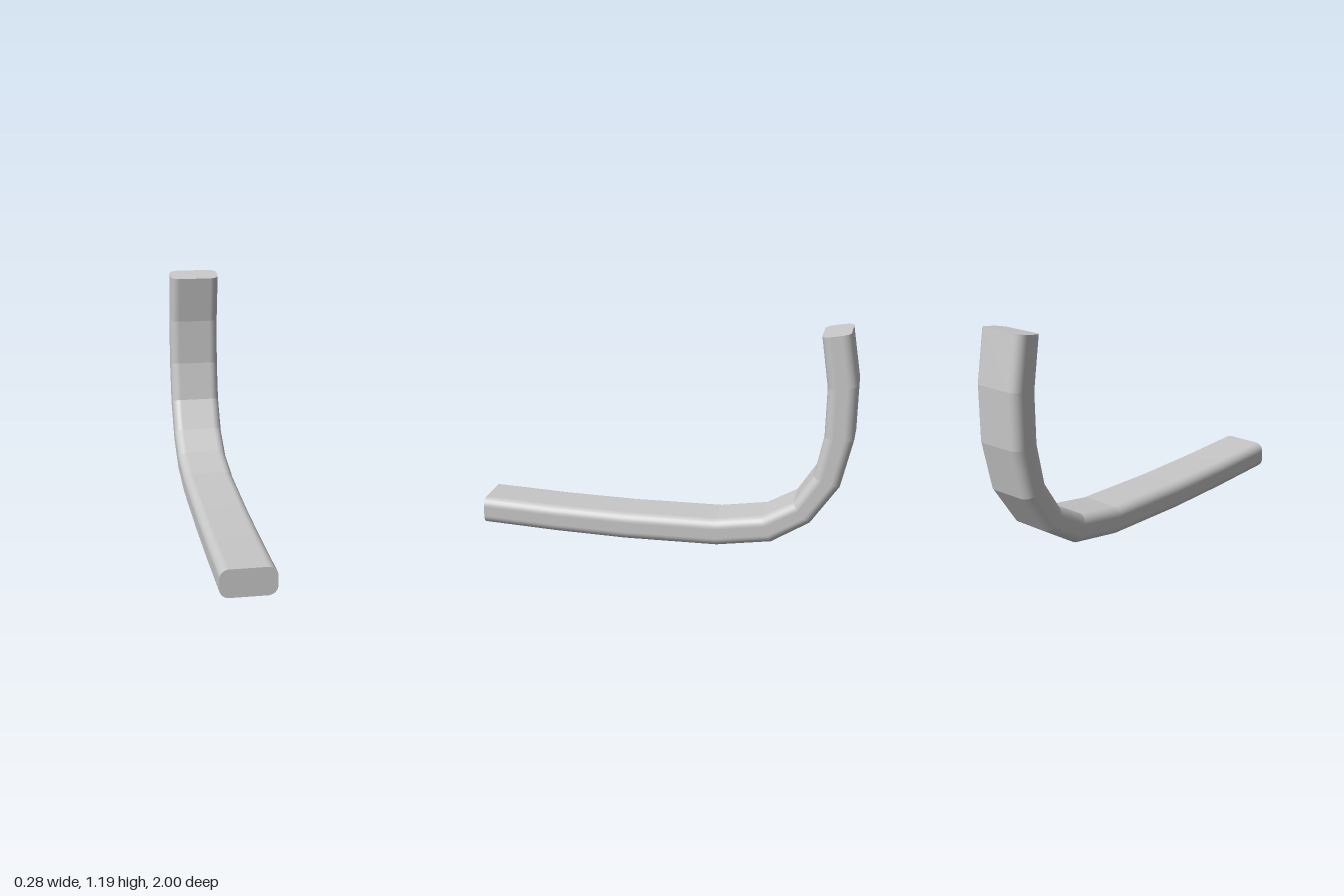
import * as THREE from 'three';

// Mitred joints along the bend: [inner z, inner y, outer z, outer y]
const JOINTS = [
  [1.0, 0.176, 1.0, 0.03],
  [0.6, 0.16, 0.595, 0.012],
  [0.2, 0.152, 0.2, 0.003],
  [-0.29, 0.158, -0.3, 0.01],
  [-0.54, 0.196, -0.59, 0.055],
  [-0.7, 0.285, -0.79, 0.18],
  [-0.8, 0.44, -0.935, 0.39],
  [-0.845, 0.655, -0.995, 0.645],
  [-0.85, 0.912, -1.0, 0.93],
  [-0.812, 1.175, -0.957, 1.198],
];
const HALF_W = 0.14, HALF_T = 0.074, RADIUS = 0.048, STEPS = 6;

// Rounded-rectangle section, counter-clockwise, with v scaled to -1..1 and smooth normals
function section() {
  const pts = [];
  [[1, 1], [-1, 1], [-1, -1], [1, -1]].forEach(([sx, sy], q) => {
    for (let k = 0; k <= STEPS; k++) {
      const a = (q + k / STEPS) * Math.PI / 2, c = Math.cos(a), s = Math.sin(a);
      pts.push({
        x: sx * (HALF_W - RADIUS) + RADIUS * c,
        v: (sy * (HALF_T - RADIUS) + RADIUS * s) / HALF_T,
        nx: c, nv: s,
      });
    }
  });
  return pts;
}

function placeOn([iz, iy, oz, oy], p) {
  const t = (1 - p.v) / 2;
  return new THREE.Vector3(p.x, iy + (oy - iy) * t, iz + (oz - iz) * t);
}

function buildGeometry(positions, normals, index) {
  const g = new THREE.BufferGeometry();
  g.setAttribute('position', new THREE.Float32BufferAttribute(positions, 3));
  g.setAttribute('normal', new THREE.Float32BufferAttribute(normals, 3));
  g.setIndex(index);
  return g;
}

// Bar skin: smooth around the section, creased at every joint
function barGeometry(ring) {
  const pos = [], nor = [], idx = [], n = ring.length;
  for (let i = 0; i < JOINTS.length - 1; i++) {
    const A = JOINTS[i], B = JOINTS[i + 1], base = pos.length / 3;
    const dz = B[0] + B[2] - A[0] - A[2], dy = B[1] + B[3] - A[1] - A[3];
    const len = Math.hypot(dz, dy);
    for (const joint of [A, B]) for (const p of ring) {
      pos.push(...placeOn(joint, p).toArray());
      nor.push(p.nx, -dz / len * p.nv, dy / len * p.nv);
    }
    for (let j = 0; j < n; j++) {
      const a = base + j, b = base + (j + 1) % n;
      idx.push(a, a + n, b + n, a, b + n, b);
    }
  }
  return buildGeometry(pos, nor, idx);
}

// Flat end cap
function capGeometry(ring, joint, flip) {
  const pos = [], nor = [], idx = [];
  const pts = ring.map(p => placeOn(joint, p));
  const up = new THREE.Vector3(0, joint[1] - joint[3], joint[0] - joint[2]);
  const normal = new THREE.Vector3(1, 0, 0).cross(up).normalize().multiplyScalar(flip ? -1 : 1);
  for (const p of pts) {
    pos.push(...p.toArray());
    nor.push(...normal.toArray());
  }
  for (let j = 1; j < pts.length - 1; j++) {
    if (flip) idx.push(0, j + 1, j);
    else idx.push(0, j, j + 1);
  }
  return buildGeometry(pos, nor, idx);
}

export function createModel() {
  const grey = new THREE.MeshStandardMaterial({ color: 0xc8c8c8 });
  grey.name = 'light grey';
  const group = new THREE.Group();
  group.name = 'bentBar';
  const add = (name, geometry) => {
    const mesh = new THREE.Mesh(geometry, grey);
    mesh.name = name;
    group.add(mesh);
  };
  const ring = section();
  add('curvedBar', barGeometry(ring));
  add('frontEnd', capGeometry(ring, JOINTS[0], false));
  add('topEnd', capGeometry(ring, JOINTS[JOINTS.length - 1], true));
  return group;
}
